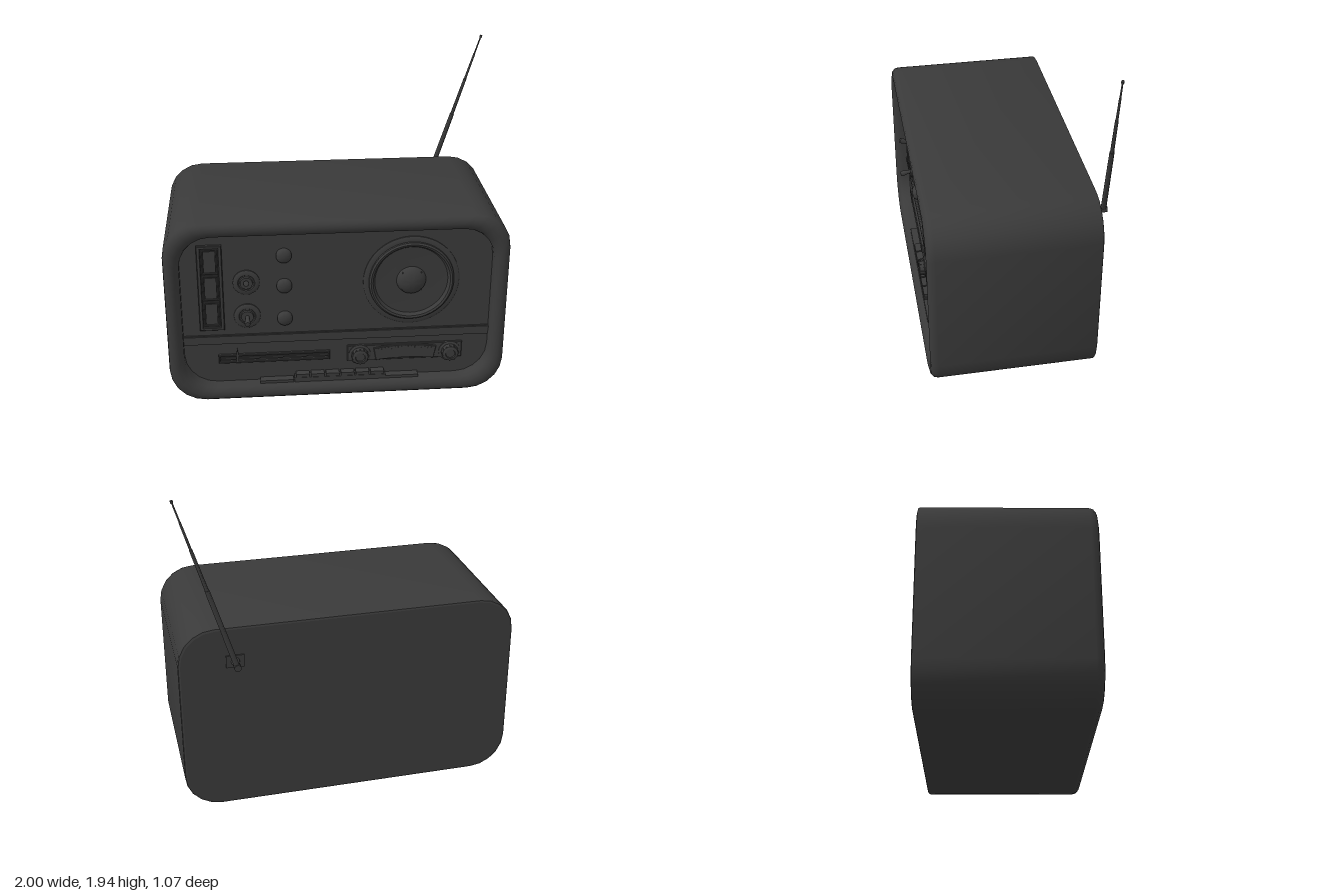
import * as THREE from 'three';
import { toCreasedNormals } from 'three/addons/utils/BufferGeometryUtils.js';

const FACE = 0.445; // z of the recessed control panel
const CY = 0.58;    // height of the cabinet's centre

export function createModel() {
  const radio = new THREE.Group();
  radio.name = 'radio';
  const material = new THREE.MeshStandardMaterial({ color: 0x3a3a3a });

  function add(name, geometry, x = 0, y = 0, z = 0, parent = radio) {
    const mesh = new THREE.Mesh(toCreasedNormals(geometry, 0.65), material);
    mesh.name = name;
    mesh.position.set(x, y, z);
    parent.add(mesh);
    return mesh;
  }
  function group(name, x, y, z = FACE) {
    const g = new THREE.Group();
    g.name = name;
    g.position.set(x, y, z);
    radio.add(g);
    return g;
  }
  const box = (w, h, d) => new THREE.BoxGeometry(w, h, d);
  // Turned part whose axis points to the front; profile is [radius, z] from rim to centre
  const turned = (profile, sides = 32) =>
    new THREE.LatheGeometry(profile.map(p => new THREE.Vector2(...p)), sides).rotateX(Math.PI / 2);
  const rect = (x0, y0, x1, y1) => [[x0, y0], [x1, y0], [x1, y1], [x0, y1]].map(p => new THREE.Vector2(...p));
  function extrude(shape, depth, bevel = 0) {
    return new THREE.ExtrudeGeometry(shape, {
      depth, bevelEnabled: bevel > 0, bevelSize: bevel, bevelThickness: bevel, bevelOffset: -bevel, bevelSegments: 1, curveSegments: 16,
    });
  }
  // Rectangular plate with rectangular windows
  function windowed(w, h, depth, holes, bevel = 0.004) {
    const shape = new THREE.Shape(rect(-w / 2, -h / 2, w / 2, h / 2));
    holes.forEach(r => shape.holes.push(new THREE.Path(rect(...r))));
    return extrude(shape, depth, bevel);
  }

  // Rounded rectangle, counter-clockwise
  function outline(inset, r) {
    const hx = 1 - inset, hy = CY - inset, pts = [], n = 5;
    [[1, 1], [-1, 1], [-1, -1], [1, -1]].forEach(([sx, sy], c) => {
      for (let i = 0; i <= n; i++) {
        const a = (c + i / n) * Math.PI / 2;
        pts.push(new THREE.Vector2(sx * (hx - r) + r * Math.cos(a), sy * (hy - r) + r * Math.sin(a)));
      }
    });
    return pts;
  }

  // Cabinet shell: rings [inset, z] from the back edge, round the front lip, into the recess
  const rings = [[0.014, -0.44], [0.004, -0.436], [0, -0.426], [0, 0.485], [0.005, 0.508], [0.02, 0.525],
    [0.042, 0.531], [0.066, 0.525], [0.083, 0.508], [0.09, 0.485], [0.09, FACE]];
  const pos = [], idx = [];
  rings.forEach(([inset, z], k) => {
    const pts = outline(inset, 0.21 - inset * 0.2), n = pts.length;
    pts.forEach((p, i) => {
      pos.push(p.x, p.y, z);
      if (k === rings.length - 1) return;
      const a = k * n + i, b = k * n + (i + 1) % n;
      idx.push(a, b, a + n, b, b + n, a + n);
    });
  });
  const shell = new THREE.BufferGeometry();
  shell.setAttribute('position', new THREE.Float32BufferAttribute(pos, 3));
  shell.setIndex(idx);
  shell.computeVertexNormals();
  add('cabinetShell', shell, 0, CY);
  add('cabinetBack', new THREE.ShapeGeometry(new THREE.Shape(outline(0.014, 0.207))).rotateY(Math.PI), 0, CY, -0.44);
  add('frontPanel', new THREE.ShapeGeometry(new THREE.Shape(outline(0.09, 0.192))), 0, CY, FACE);

  // Stepped trim band across the panel
  add('trimBand', box(1.82, 0.06, 0.016), 0, 0.38, FACE);
  add('trimRidge', box(1.82, 0.018, 0.03), 0, 0.397, FACE);

  // Speaker: raised rim, roll surround, sunken cone and dome
  const speaker = group('speaker', 0.435, 0.73);
  add('speakerRim', turned([[0.284, 0], [0.284, 0.008], [0.278, 0.012], [0.252, 0.012], [0.25, 0.022], [0.24, 0.03],
    [0.228, 0.026], [0.22, 0.012], [0.215, 0.004]], 48), 0, 0, 0, speaker);
  add('speakerCone', turned([[0.216, 0.005], [0.18, 0.003], [0.13, 0.002], [0.085, 0.001]], 48), 0, 0, 0, speaker);
  add('speakerDome', turned([[0.088, 0], [0.084, 0.012], [0.07, 0.026], [0.048, 0.036], [0.024, 0.042], [0, 0.044]]), 0, 0, 0, speaker);
  for (let i = 0; i < 4; i++) {
    const a = (i + 0.5) * Math.PI / 2;
    add('domeRivet', new THREE.SphereGeometry(0.005, 8, 6), 0.078 * Math.cos(a), 0.078 * Math.sin(a), 0.018, speaker);
  }

  // Column of three switches in a frame
  const bank = group('switchBank', -0.737, 0.725);
  add('switchFrame', windowed(0.145, 0.55, 0.014, [[-0.05, -0.255, 0.05, 0.255]]), 0, 0, 0, bank);
  [-0.17, 0, 0.17].forEach(y => {
    add('switchSurround', windowed(0.096, 0.164, 0.008, [[-0.037, -0.07, 0.037, 0.07]], 0.003), 0, y, 0, bank);
    add('switchKey', box(0.07, 0.134, 0.012), 0, y, 0.002, bank);
  });

  // Toggle switches, one flipped up and one flipped down
  [[0.755, -0.45], [0.535, 0.2]].forEach(([y, tilt]) => {
    const toggle = group('toggleSwitch', -0.53, y);
    add('toggleBase', turned([[0.078, 0], [0.078, 0.008], [0.07, 0.014], [0.05, 0.014], [0.046, 0.008], [0.038, 0.008],
      [0.036, 0.022], [0.02, 0.022], [0, 0.022]]), 0, 0, 0, toggle);
    const lever = add('toggleLever', turned([[0.012, 0], [0.012, 0.03], [0.018, 0.058], [0.016, 0.072], [0, 0.076]], 16), 0, 0, 0.015, toggle);
    lever.rotation.x = tilt;
  });

  // Round push buttons
  [0.92, 0.725, 0.51].forEach(y => add('roundButton',
    turned([[0.045, 0], [0.045, 0.014], [0.04, 0.023], [0.028, 0.03], [0, 0.034]]), -0.31, y, FACE));

  // Slider scale with its pointer
  const slider = group('slider', -0.377, 0.248);
  add('sliderFrame', windowed(0.664, 0.058, 0.012, [[-0.32, -0.016, 0.32, 0.016]]), 0, 0, 0, slider);
  add('sliderRail', box(0.64, 0.01, 0.012), 0, 0, 0.003, slider);
  add('sliderPointer', extrude(new THREE.Shape([[-0.008, -0.02], [0.008, -0.02], [0.008, 0.025], [0, 0.075], [-0.008, 0.025]]
    .map(p => new THREE.Vector2(...p))), 0.008), -0.22, 0, 0.01, slider);

  // Tuner plate with an arched dial between two knobs
  const tuner = group('tuner', 0.4075, 0.2525);
  add('tunerPlate', windowed(0.695, 0.106, 0.008, []), 0, 0, 0, tuner);
  const dial = new THREE.Shape();
  dial.moveTo(-0.19, 0.032);
  dial.lineTo(-0.175, -0.05);
  dial.quadraticCurveTo(0, -0.028, 0.175, -0.05);
  dial.lineTo(0.19, 0.032);
  dial.quadraticCurveTo(0, 0.07, -0.19, 0.032);
  add('dialFace', extrude(dial, 0.014, 0.003), 0, 0, 0.004, tuner);
  for (let i = -8; i <= 8; i++) {
    const x = i * 0.02;
    const tick = add('dialTick', box(0.003, i % 4 ? 0.01 : 0.018, 0.004), x, 0.038 - 0.5 * x * x, 0.025, tuner);
    tick.rotation.z = -x;
  }
  [-0.2725, 0.2725].forEach(x => {
    add('tunerKnob', turned([[0.066, 0], [0.066, 0.012], [0.06, 0.016], [0.05, 0.016], [0.047, 0.045], [0.04, 0.05],
      [0.03, 0.05], [0.027, 0.044], [0, 0.044]], 24), x, -0.008, 0.006, tuner);
    for (let i = 0; i < 12; i++) {
      const a = i * Math.PI / 6;
      const rib = add('knobRib', box(0.008, 0.008, 0.024), x + 0.048 * Math.cos(a), -0.008 + 0.048 * Math.sin(a), 0.036, tuner);
      rib.rotation.z = a;
    }
  });

  // Row of keys along the bottom lip, with a plate at each end
  add('keyBed', box(0.55, 0.03, 0.05), 0.015, 0.103, FACE + 0.02);
  for (let i = 0; i < 6; i++) add('pianoKey', box(0.08, 0.022, 0.045), -0.21 + i * 0.09, 0.127, FACE + 0.02);
  [-0.365, 0.388].forEach(x => add('endPlate', box(0.2, 0.018, 0.05), x, 0.097, FACE + 0.02));

  // Telescopic aerial on the back
  const aerial = group('aerial', 0.675, 0.95, -0.44);
  add('aerialPlate', box(0.105, 0.075, 0.012), 0, 0, -0.002, aerial);
  add('aerialPost', turned([[0.015, 0], [0.015, 0.035], [0.02, 0.04], [0.026, 0.085]].map(([r, z]) => [r, z - 0.085]), 16), 0, 0, 0, aerial);
  add('aerialPivot', new THREE.CylinderGeometry(0.02, 0.02, 0.042, 16).rotateX(Math.PI / 2), 0, 0, -0.077, aerial);
  const rod = new THREE.Group();
  rod.name = 'aerialRod';
  rod.position.set(0, 0, -0.078);
  const reach = new THREE.Vector3(0.3, 0.988, 0.038);
  rod.quaternion.setFromUnitVectors(new THREE.Vector3(0, 1, 0), reach.clone().normalize());
  aerial.add(rod);
  const len = reach.length();
  [[0, 0.48, 0.016], [0.48, 0.72, 0.011], [0.72, 0.88, 0.0075], [0.88, 1, 0.005]].forEach(([a, b, r]) =>
    add('rodSection', new THREE.CylinderGeometry(r * 0.85, r, (b - a) * len, 12), 0, (a + b) / 2 * len, 0, rod));
  add('rodTip', new THREE.CylinderGeometry(0.008, 0.008, 0.014, 12), 0, len - 0.004, 0, rod);

  return radio;
}
